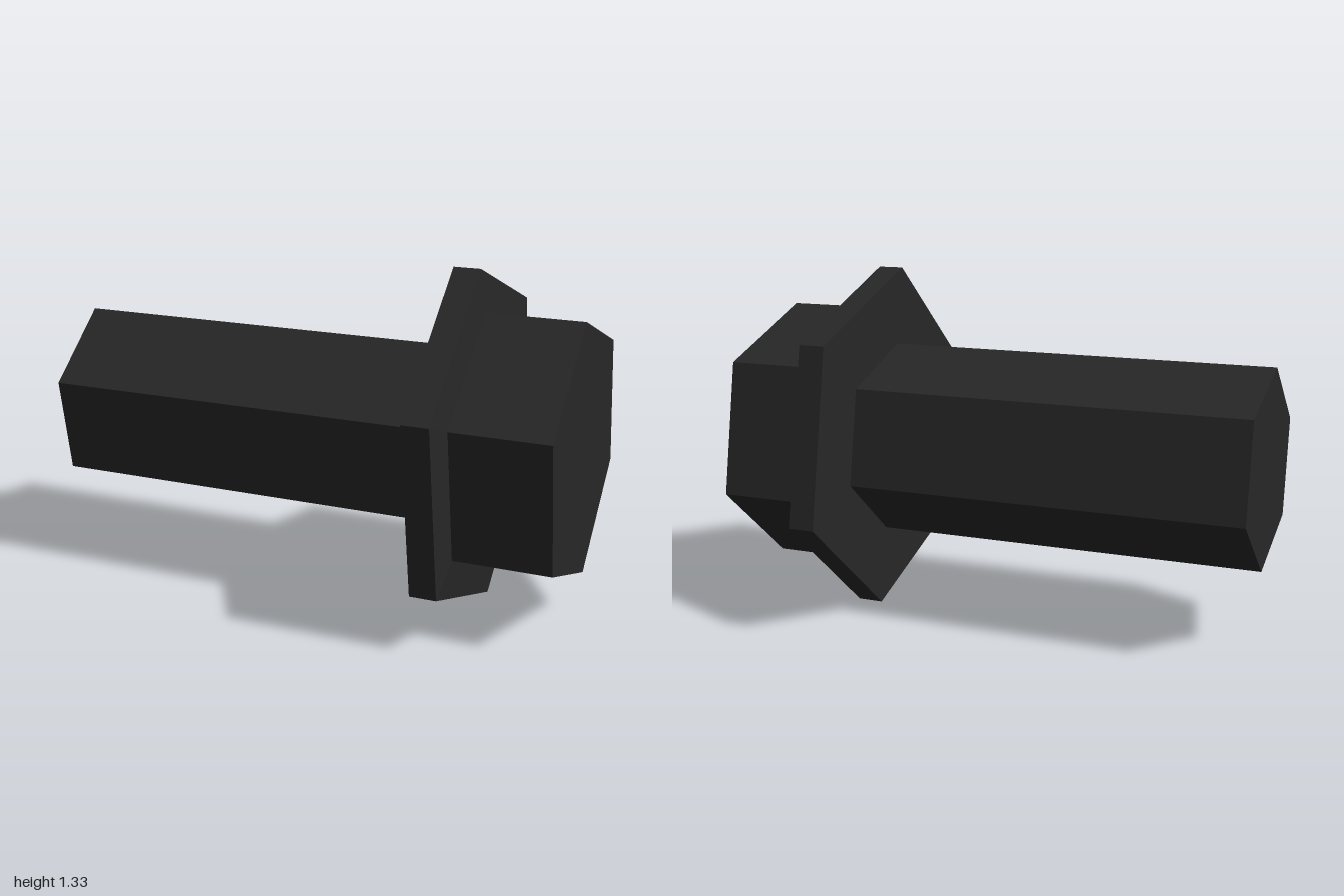
import * as THREE from 'three';

const AXIS_Y = 0.663;

export function createModel() {
  const bolt = new THREE.Group();
  bolt.name = 'flangeBolt';
  const blackSteel = new THREE.MeshStandardMaterial({ color: 0x272727, flatShading: true });
  blackSteel.name = 'blackSteel';

  // Hexagonal section lying along x, turned so its top corner leans 10 degrees to the front
  function hexSection(name, x0, x1, r0, r1) {
    const geometry = new THREE.CylinderGeometry(r1, r0, x1 - x0, 6, 1, false, -Math.PI / 9);
    geometry.rotateZ(-Math.PI / 2);
    const mesh = new THREE.Mesh(geometry, blackSteel);
    mesh.name = name;
    mesh.position.set((x0 + x1) / 2, AXIS_Y, 0);
    bolt.add(mesh);
  }

  hexSection('shank', -1, 0.525, 0.37, 0.37);
  hexSection('flange', 0.525, 0.625, 0.673, 0.673);
  hexSection('flangeSlope', 0.625, 0.638, 0.673, 0.51); // shallow taper up to the head
  hexSection('head', 0.638, 1, 0.51, 0.51);

  return bolt;
}
